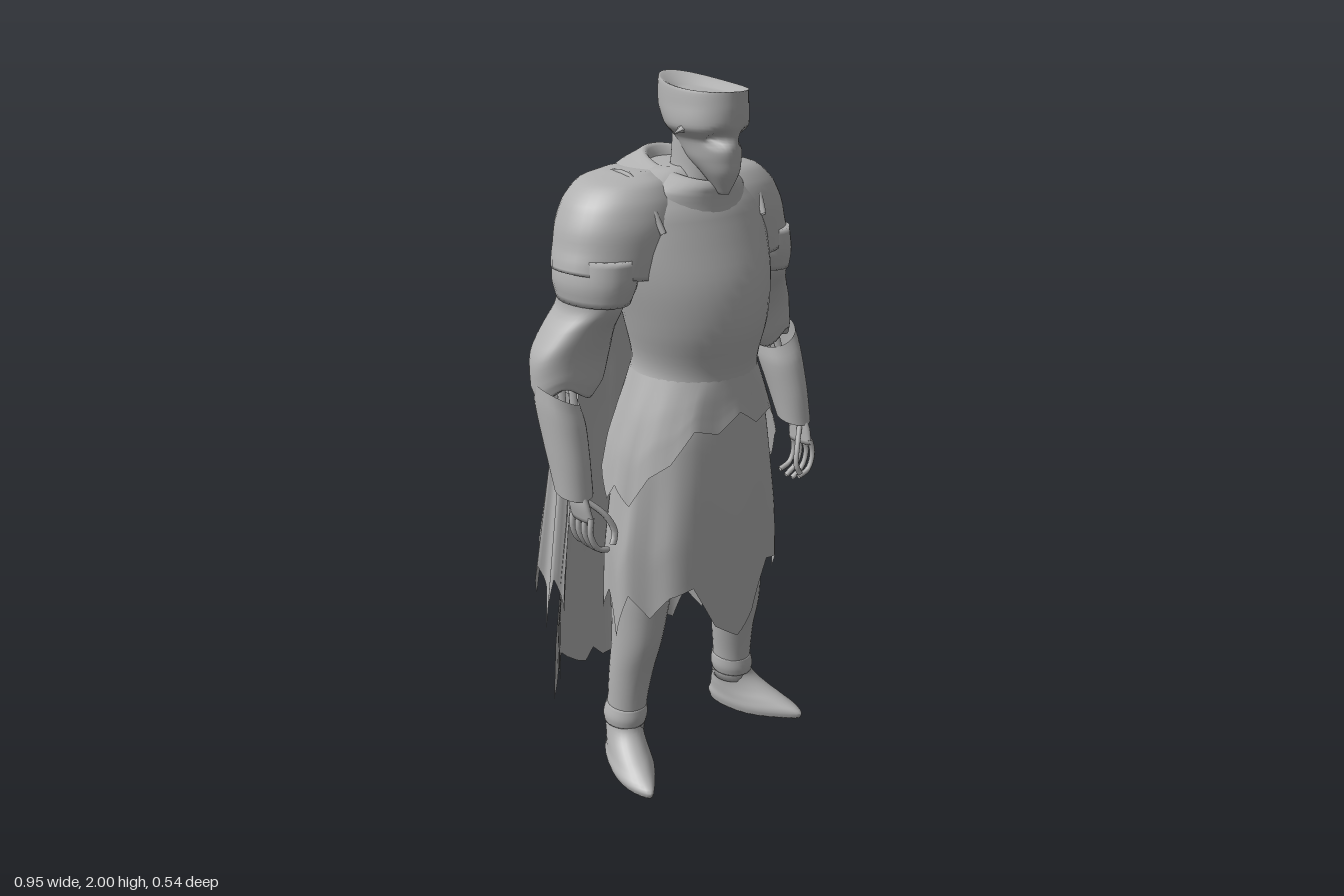
import * as THREE from 'three';

const grey = new THREE.MeshStandardMaterial({ color: 0xb0b0b0, side: THREE.DoubleSide });
grey.name = 'weathered grey';

// value at t (0..1) along a list of evenly spaced stops
function along(list, t) {
  const f = Math.min(Math.max(t, 0), 1) * (list.length - 1);
  const i = Math.min(Math.floor(f), list.length - 2);
  return list[i] + (list[i + 1] - list[i]) * (f - i);
}

// surface from fn(u, v), u across and v downward, optionally closed around u and capped
function surface(name, nu, nv, fn, wrap = false, caps = false) {
  const pos = [], idx = [], cols = wrap ? nu : nu + 1;
  for (let i = 0; i <= nv; i++)
    for (let j = 0; j < cols; j++) pos.push(...fn(j / nu, i / nv));
  for (let i = 0; i < nv; i++)
    for (let j = 0; j < nu; j++) {
      const k = (j + 1) % cols;
      const a = i * cols + j, b = a + cols, c = (i + 1) * cols + k, d = i * cols + k;
      idx.push(a, b, c, a, c, d);
    }
  if (caps) for (const row of [0, nv]) {
    const start = row * cols, m = [0, 0, 0], centre = pos.length / 3;
    for (let j = 0; j < cols; j++) for (let q = 0; q < 3; q++) m[q] += pos[(start + j) * 3 + q] / cols;
    pos.push(...m);
    for (let j = 0; j < cols; j++) {
      const p = start + j, q = start + (j + 1) % cols;
      if (row === 0) idx.push(centre, p, q); else idx.push(centre, q, p);
    }
  }
  const g = new THREE.BufferGeometry();
  g.setAttribute('position', new THREE.Float32BufferAttribute(pos, 3));
  g.setIndex(idx);
  g.computeVertexNormals();
  const mesh = new THREE.Mesh(g, grey);
  mesh.name = name;
  return mesh;
}

// smooth body through elliptical rings [y, cx, cz, rx, rz, yaw], listed top to bottom
function loft(name, rings, { seg = 28, per = 4, caps = true, shape } = {}) {
  const mid = new THREE.CatmullRomCurve3(rings.map(r => new THREE.Vector3(r[1], r[0], r[2])));
  const rad = new THREE.CatmullRomCurve3(rings.map(r => new THREE.Vector3(r[3], r[4], r[5] || 0)));
  return surface(name, seg, per * (rings.length - 1), (u, v) => {
    const c = mid.getPoint(v), r = rad.getPoint(v), a = u * Math.PI * 2;
    const dx = Math.sin(a) * r.x, dz = Math.cos(a) * r.y, s = Math.sin(r.z), k = Math.cos(r.z);
    const p = new THREE.Vector3(c.x + dx * k + dz * s, c.y, c.z + dz * k - dx * s);
    if (shape) shape(p, u, v, c);
    return [p.x, p.y, p.z];
  }, true, caps);
}

// cloth ring whose lower edge follows a ragged list of heights around the body
function raggedCloth(name, rings, top, hem, fold) {
  return loft(name, rings, {
    seg: 96, per: 5, caps: false,
    shape: (p, u, v, c) => {
      const f = 1 + fold * v * Math.cos(u * Math.PI * 18);
      p.x = c.x + (p.x - c.x) * f;
      p.z = c.z + (p.z - c.z) * f;
      p.y = top - (top - along(hem, u)) * v;
    },
  });
}

function tube(name, pts, r) {
  const curve = new THREE.CatmullRomCurve3(pts.map(p => new THREE.Vector3(...p)));
  const m = new THREE.Mesh(new THREE.TubeGeometry(curve, 10, r, 6), grey);
  m.name = name;
  return m;
}

function makeHead() {
  const g = new THREE.Group();
  g.name = 'head';
  // helmet with pointed mask, sunken eyes and a dished crown
  g.add(loft('helmet', [
    [1.955, 0, .11, .045, .08], [1.975, 0, .105, .088, .142], [1.93, 0, .105, .096, .14],
    [1.88, 0, .118, .1, .122], [1.845, 0, .128, .074, .105], [1.8, 0, .145, .064, .085],
    [1.76, 0, .172, .046, .055], [1.705, 0, .185, .012, .018],
  ], {
    seg: 48, per: 6,
    shape: (p, u, v, c) => {
      const dz = p.z - c.z;
      if (dz > 0) {
        const e = ((Math.abs(p.x) - .04) / .02) ** 2 + ((p.y - 1.85) / .018) ** 2;
        p.z -= .045 * Math.exp(-e);
      }
      if (p.y > 1.93) p.y += (.5 * dz * dz - dz * .1) * (p.y - 1.93) / .045;
    },
  }));
  g.add(loft('neck', [[1.86, 0, .08, .06, .065], [1.76, 0, .08, .065, .075], [1.62, 0, .07, .1, .09]]));
  for (const s of [-1, 1]) {
    const tab = new THREE.Mesh(new THREE.ConeGeometry(.018, .05, 5), grey);
    tab.name = 'helmetTab';
    tab.position.set(s * .1, 1.873, .13);
    tab.rotation.z = -s * 1.9;
    g.add(tab);
  }
  return g;
}

function makeArm() {
  const g = new THREE.Group();
  g.name = 'arm';
  // broad shoulder plate sloping from the neck to a low outer tip
  g.add(loft('shoulderPlate', [
    [1.76, .14, -.03, .05, .07], [1.738, .16, -.025, .12, .12], [1.69, .17, -.02, .165, .15],
    [1.62, .178, -.015, .19, .162], [1.55, .195, -.01, .19, .155], [1.5, .215, -.005, .178, .145],
  ], { seg: 40, shape: (p, u, v) => { if (v > .7) p.y += (v - .7) * .09 * Math.sin(u * Math.PI * 2); } }));
  g.add(loft('lowerShoulderPlate', [
    [1.56, .28, 0, .09, .135], [1.5, .285, 0, .098, .137], [1.44, .295, .005, .082, .12],
  ]));
  // sleeve gathered above the elbow
  g.add(loft('sleeve', [
    [1.5, .3, 0, .08, .115], [1.43, .305, 0, .072, .11], [1.37, .325, -.02, .095, .095],
    [1.3, .345, -.035, .118, .085], [1.23, .36, -.03, .11, .075], [1.2, .375, -.02, .085, .06],
  ], { seg: 40, shape: (p, u, v) => { p.y += .02 * v * Math.sin(u * Math.PI * 6); } }));
  for (const dz of [-.025, .025])
    g.add(tube('forearmBone', [[.375, 1.26, -.02 + dz], [.395, 1.1, .02 + dz], [.42, .92, .08 + dz * .6]], .012));
  // tapering bracer, cut lower on its inner side
  g.add(loft('bracer', [
    [1.2, .412, -.01, .058, .06], [1.14, .413, .005, .062, .076],
    [1.05, .418, .035, .056, .07], [.955, .422, .065, .05, .055],
  ], { caps: false, shape: (p, u, v) => { p.y += (1 - v) * (p.x - .43) * .5 - (p.z - .03) * .25; } }));
  // bony hand
  g.add(loft('palm', [[.96, .425, .08, .016, .025], [.92, .425, .09, .018, .04], [.875, .42, .1, .014, .045]]));
  for (let i = 0; i < 4; i++) {
    const z = .06 + i * .026, low = .765 + Math.abs(i - 1.5) * .012;
    g.add(tube('finger', [[.422, .89, z], [.43, .845, z + .005], [.41, .8, z + .008], [.372, low, z + .004]], .0085));
  }
  g.add(tube('thumb', [[.415, .93, .1], [.37, .88, .135], [.352, .83, .15], [.365, .8, .155]], .009));
  return g;
}

function makeLeg() {
  const g = new THREE.Group();
  g.name = 'leg';
  g.add(loft('shin', [
    [.85, .13, .06, .1, .11], [.6, .18, .055, .088, .1], [.5, .19, .055, .08, .088],
    [.4, .2, .052, .071, .078], [.3, .207, .035, .065, .068], [.2, .215, .025, .058, .062], [.1, .22, .02, .055, .06],
  ]));
  g.add(loft('bootCuff', [[.185, .216, .022, .058, .063], [.15, .22, .02, .064, .069], [.125, .222, .02, .06, .066]]));
  // shoe with a long pointed toe turned outward
  g.add(loft('shoe', [
    [.15, .22, .02, .052, .06, .2], [.11, .225, .022, .055, .07, .3], [.075, .235, .042, .057, .098, .36],
    [.045, .247, .072, .061, .132, .36], [.018, .257, .093, .066, .163, .36], [0, .257, .094, .062, .158, .36],
  ], { shape: (p, u, v, c) => { const f = Math.max(0, p.z - c.z) / .16; p.x += (c.x + .058 - p.x) * .55 * f * f; } }));
  return g;
}

// hanging rag beside the hip
function makeSideRag() {
  const hem = [.66, .5, .6, .43, .56, .62, .52, .68];
  return surface('sideRag', 28, 20, (u, v) => {
    const w = 2 * u - 1;
    return [.24 + .12 * v + .03 * (1 - w * w) + .012 * v * Math.cos(u * 16),
      1.4 - (1.4 - along(hem, u)) * v, -.13 - w * (.03 + .05 * v)];
  });
}

// cape with a flat back panel and sides that turn forward
function makeCape() {
  const width = [.16, .21, .24, .27, .29, .31, .33, .34, .34];
  const back = [-.1, -.19, -.23, -.248, -.255, -.258, -.262, -.265, -.258];
  const edge = [-.07, -.13, -.14, -.13, -.1, -.09, -.09, -.1, -.11];
  const hem = [.2, .28, .2, .26, .22, .19, .17, .2, .16, .17, .16, .18, .16, .2, .16, .22, .2, .3, .24, .38, .3];
  return surface('cape', 80, 32, (u, v) => {
    const w = 1 - 2 * u, b = along(back, v), top = 1.785 - .05 * w * w;
    const turn = THREE.MathUtils.smoothstep(Math.abs(w), .5, 1.05);
    return [along(width, v) * w * (w < 0 ? 1 + .15 * v : 1),
      top - (top - along(hem, 1 - u)) * v,
      b + (along(edge, v) - b) * turn + .009 * Math.min(1, v * 3) * Math.cos(w * 13)];
  });
}

export function createModel() {
  const model = new THREE.Group();
  model.name = 'cloakedKnight';
  model.add(makeHead(), makeCape());

  model.add(loft('breastplate', [
    [1.77, 0, .02, .1, .09], [1.73, 0, .005, .19, .13], [1.66, 0, .015, .25, .165], [1.58, 0, .035, .255, .18],
    [1.47, 0, .068, .235, .19], [1.35, 0, .083, .205, .187], [1.24, 0, .078, .18, .17], [1.17, 0, .07, .2, .175],
  ], { seg: 40 }));
  // sloping cowl around the neck, spread over the upper back
  model.add(loft('cowl', [
    [1.71, 0, .045, .075, .1], [1.77, 0, .04, .092, .13], [1.755, 0, .03, .13, .15],
    [1.73, 0, .01, .18, .168], [1.66, 0, 0, .205, .185],
  ], { seg: 40, caps: false, shape: (p, u, v, c) => { p.y -= (.28 - .12 * v) * (p.z - c.z); } }));

  // hip plates over a ragged tunic
  model.add(raggedCloth('hipPlates', [
    [1.22, 0, .075, .183, .17], [1.1, 0, .07, .225, .18], [1, 0, .065, .26, .19], [.88, 0, .065, .283, .197],
  ], 1.22, [1.12, 1.07, 1.09, 1, .96, .87, .92, .86, .94, .9, 1, .92, .96,
    .92, 1, .9, .94, .86, .92, .87, .96, 1, 1.09, 1.07, 1.12], .012));
  model.add(raggedCloth('tunic', [
    [1.2, 0, .07, .17, .16], [1, 0, .07, .238, .175], [.8, 0, .07, .262, .185],
    [.6, 0, .07, .285, .19], [.45, 0, .07, .29, .193],
  ], 1.2, [.43, .48, .62, .6, .53, .6, .45, .55, .47, .6, .5, .62, .52,
    .6, .5, .62, .48, .58, .45, .6, .53, .6, .62, .48, .43], .03));

  // mirrored limbs and trim
  for (const s of [1, -1]) {
    const side = new THREE.Group();
    side.name = s > 0 ? 'leftSide' : 'rightSide';
    side.scale.x = s;
    side.add(makeArm(), makeLeg(), makeSideRag());
    side.add(tube('mantleEdge', [[.18, 1.62, .155], [.19, 1.69, .115], [.19, 1.752, .03], [.185, 1.745, -.07], [.19, 1.69, -.14]], .009));
    model.add(side);
  }
  return model;
}
